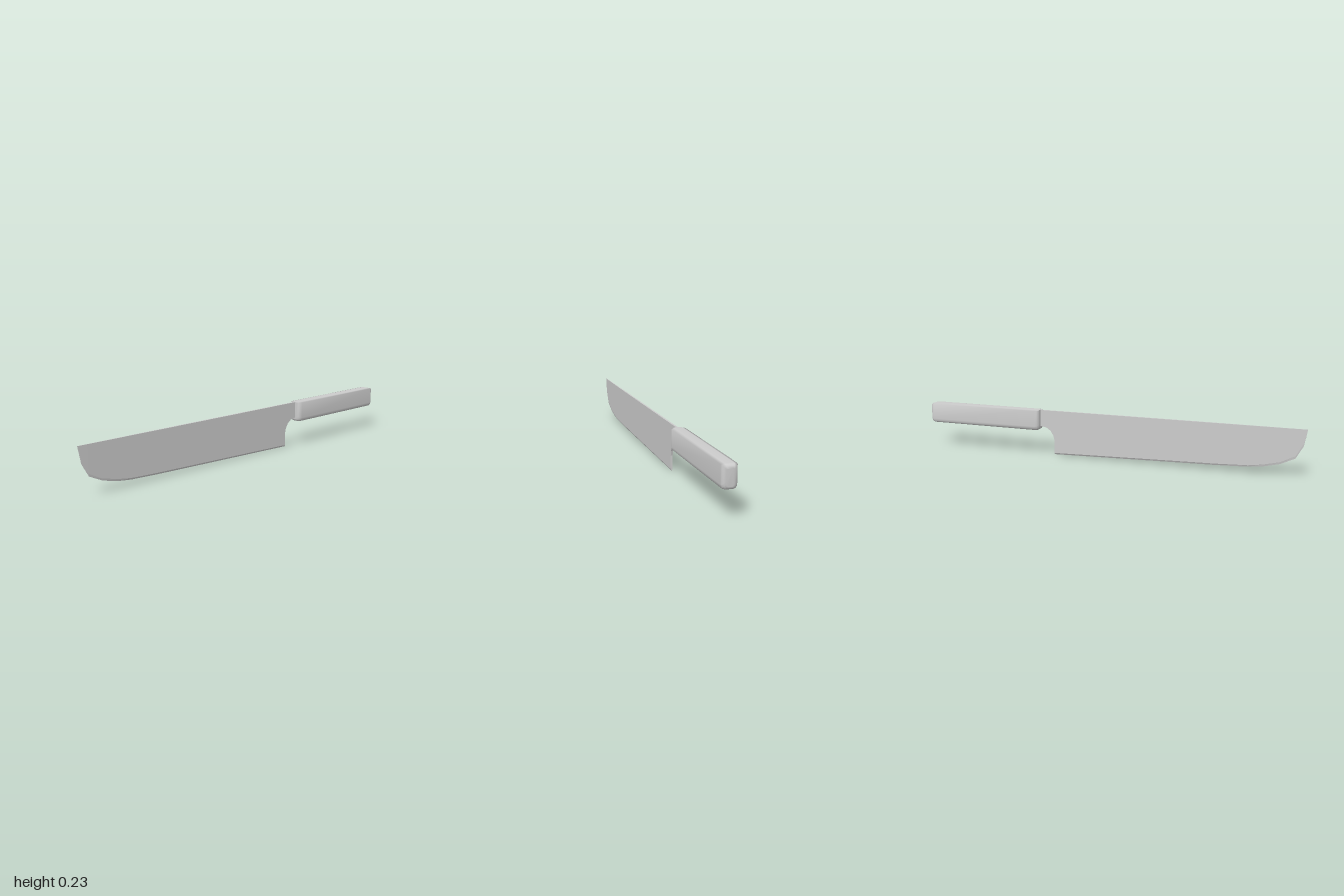
import * as THREE from 'three';

// Skin a row of equal rings (counter-clockwise seen from +z), running from +z to -z
function loft(stations, ringAt) {
  const pos = [], idx = [];
  let n = 0;
  for (const s of stations) {
    const ring = ringAt(s);
    n = ring.length;
    for (const [x, y] of ring) pos.push(x, y, s[0]);
  }
  const last = (stations.length - 1) * n;
  for (let k = 0; k < last; k += n) {
    for (let i = 0; i < n; i++) {
      const j = (i + 1) % n;
      const a = k + i, b = k + j, c = b + n, d = a + n;
      idx.push(a, c, b, a, d, c);
    }
  }
  for (let i = 1; i < n - 1; i++) {
    idx.push(0, i, i + 1, last, last + i + 1, last + i);
  }
  const g = new THREE.BufferGeometry();
  g.setAttribute('position', new THREE.Float32BufferAttribute(pos, 3));
  g.setIndex(idx);
  return g;
}

function part(name, geometry) {
  const mesh = new THREE.Mesh(geometry, new THREE.MeshStandardMaterial({ color: 0xcccccc }));
  mesh.name = name;
  return mesh;
}

// Blade stations: z, lower edge, half thickness, bevel height
const SPINE = 0.231;
const bladeStations = [
  [1, 0.228, 0.0005, 0.001],
  [0.985, 0.15, 0.001, 0.012],
  [0.95, 0.088, 0.0015, 0.012],
  [0.88, 0.055, 0.002, 0.01],
  [0.8, 0.036, 0.0025, 0.01],
  [0.73, 0.028, 0.003, 0.008],
  [0.58, 0.022, 0.004, 0.008],
  [-0.28, 0, 0.005, 0.008],
  // square heel, then the finger notch
  [-0.28, 0.075, 0.005, 0],
  [-0.286, 0.1, 0.005, 0],
  [-0.301, 0.124, 0.005, 0],
  [-0.324, 0.14, 0.005, 0],
  [-0.355, 0.146, 0.005, 0],
  [-0.4, 0.146, 0.005, 0],
];

function makeBlade() {
  const g = loft(bladeStations, ([, b, w, e]) => [
    [w, SPINE], [-w, SPINE], [-w, b + e], [0, b], [w, b + e],
  ]).toNonIndexed();
  g.computeVertexNormals();
  return part('blade', g);
}

// Handle stations: z, half width, top, bottom
const handleStations = [
  [-0.357, 0.018, 0.232, 0.14],
  [-0.36, 0.026, 0.232, 0.132],
  [-0.368, 0.033, 0.232, 0.127],
  [-0.38, 0.035, 0.232, 0.125],
  [-0.98, 0.035, 0.232, 0.125],
  [-0.99, 0.033, 0.23, 0.127],
  [-0.997, 0.027, 0.224, 0.132],
  [-1, 0.018, 0.215, 0.14],
];

function makeHandle() {
  const g = loft(handleStations, ([, w, t, b]) => {
    // left half from the top centre down: crisp upper edge, rounded lower edge
    const half = [
      [-0.6 * w, t], [-w, t - 0.003], [-w, b + 0.022],
      [-0.94 * w, b + 0.011], [-0.8 * w, b + 0.004], [-0.5 * w, b],
    ];
    return [...half, ...half.map(([x, y]) => [-x, y]).reverse()];
  });
  g.computeVertexNormals();
  return part('handle', g);
}

export function createModel() {
  const knife = new THREE.Group();
  knife.name = 'knife';
  knife.add(makeBlade(), makeHandle());
  return knife;
}
